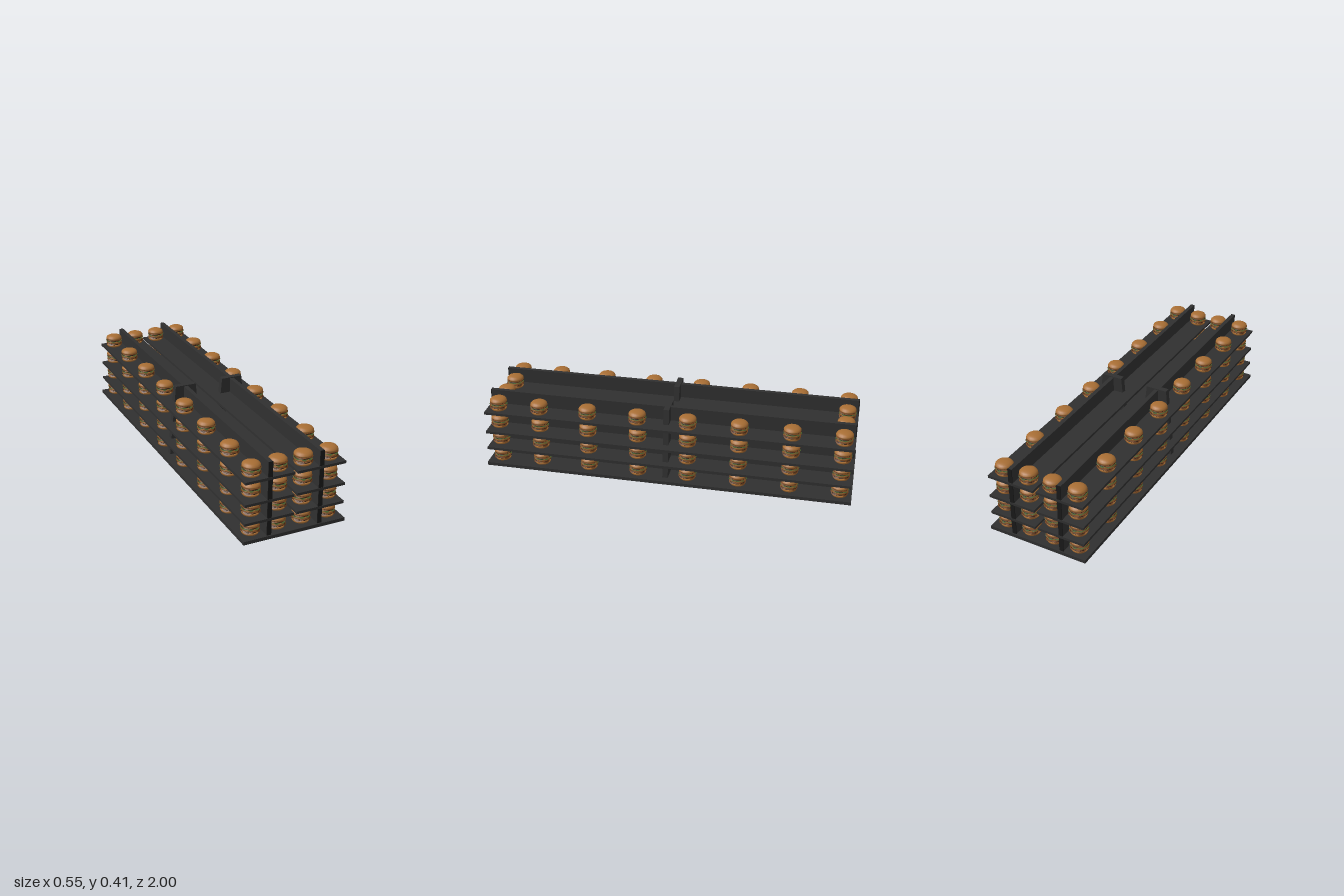
import * as THREE from 'three';

const mat = (name, color, side = THREE.FrontSide) => {
  const m = new THREE.MeshStandardMaterial({ color, side });
  m.name = name;
  return m;
};
const charcoal = mat('charcoal', 0x303030);
const black = mat('black', 0x191919);
const bun = mat('bun', 0xa86e34);
const bunPale = mat('palerBun', 0x98602c);
const patty = mat('patty', 0x3d2413);
const cheese = mat('cheese', 0x6e3f1a, THREE.DoubleSide);
const lettuce = mat('lettuce', 0x46592a, THREE.DoubleSide);

function add(parent, name, geometry, material, x = 0, y = 0, z = 0) {
  const mesh = new THREE.Mesh(geometry, material);
  mesh.name = name;
  mesh.position.set(x, y, z);
  parent.add(mesh);
  return mesh;
}

const lathe = (pts, n = 20) =>
  new THREE.LatheGeometry(pts.map(([r, y]) => new THREE.Vector2(r, y)), n);

// Thin sheet whose rim radius and height follow the angle
function sheet(radius, height, segments) {
  const g = new THREE.RingGeometry(0.03, 1, segments, 2);
  g.rotateX(-Math.PI / 2);
  const p = g.attributes.position;
  for (let i = 0; i < p.count; i++) {
    const a = Math.atan2(p.getZ(i), p.getX(i));
    const ring = Math.floor(i / (segments + 1));
    const r = ring === 0 ? 0.03 : ring === 1 ? 0.041 : radius(a);
    p.setXYZ(i, r * Math.cos(a), ring === 2 ? height(a) : 0, r * Math.sin(a));
  }
  g.computeVertexNormals();
  return g;
}

const geo = {
  bottomBun: lathe([[0, 0], [0.036, 0], [0.041, 0.003], [0.044, 0.009], [0.043, 0.015], [0, 0.016]]),
  patty: lathe([[0, 0], [0.041, 0], [0.045, 0.003], [0.045, 0.006], [0.041, 0.009], [0, 0.009]]),
  middleBun: lathe([[0, 0], [0.042, 0], [0.045, 0.003], [0.045, 0.007], [0.042, 0.01], [0, 0.01]]),
  topBun: lathe([[0, 0], [0.042, 0], [0.046, 0.004], [0.045, 0.009], [0.039, 0.016],
    [0.028, 0.021], [0.014, 0.0235], [0, 0.024]]),
  // Square slice with four drooping corners
  cheese: sheet(
    a => 0.046 + 0.003 * Math.abs(Math.sin(2 * a)),
    a => -0.013 * Math.pow(Math.abs(Math.sin(2 * a)), 2), 24),
  lettuce: sheet(a => 0.047 + 0.003 * Math.sin(7 * a), a => -0.001 + 0.003 * Math.sin(9 * a), 36),
};

function makeBurger() {
  const b = new THREE.Group();
  b.name = 'burger';
  add(b, 'bottomBun', geo.bottomBun, bun);
  add(b, 'lowerPatty', geo.patty, patty, 0, 0.016);
  add(b, 'cheeseSlice', geo.cheese, cheese, 0, 0.026);
  add(b, 'middleBun', geo.middleBun, bunPale, 0, 0.0255);
  add(b, 'lettuceLeaf', geo.lettuce, lettuce, 0, 0.037);
  add(b, 'upperPatty', geo.patty, patty, 0, 0.038);
  add(b, 'upperCheese', geo.cheese, cheese, 0, 0.0475).scale.set(0.98, 0.45, 0.98);
  add(b, 'topBun', geo.topBun, bun, 0, 0.048);
  return b;
}

export function createModel() {
  const model = new THREE.Group();
  model.name = 'burgerDisplayShelf';

  // Base slab
  add(model, 'base', new THREE.BoxGeometry(0.55, 0.018, 2), charcoal, 0, 0.009);

  const shelfGeo = new THREE.BoxGeometry(0.26, 0.0135, 1.99);
  const panelGeo = new THREE.BoxGeometry(0.022, 0.39, 1.98);
  const endGeo = new THREE.BoxGeometry(0.023, 0.39, 0.004);

  // Tapered central support
  const outline = new THREE.Shape([[-0.098, 0.018], [0.098, 0.018], [0.058, 0.413], [-0.058, 0.413]]
    .map(([x, y]) => new THREE.Vector2(x, y)));
  const postGeo = new THREE.ExtrudeGeometry(outline, { depth: 0.03, bevelEnabled: false });

  const burger = makeBurger();
  const levels = [0.018, 0.122, 0.225, 0.328];
  const rows = [0.93, 0.7, 0.43, 0.155, -0.118, -0.393, -0.668, -0.935];

  for (const side of [-1, 1]) {
    const unit = new THREE.Group();
    unit.name = side > 0 ? 'leftUnit' : 'rightUnit';
    model.add(unit);

    for (const y of [0.104, 0.204, 0.3215])
      add(unit, 'shelf', shelfGeo, charcoal, side * 0.138, y);
    add(unit, 'dividerPanel', panelGeo, charcoal, side * 0.137, 0.213);
    for (const end of [-1, 1])
      add(unit, 'panelEnd', endGeo, black, side * 0.137, 0.213, end * 0.991);
    add(unit, 'supportPost', postGeo, charcoal, side * 0.137, 0, -0.015);

    // Outer row along each level, plus an inner burger at each end
    for (const y of levels) {
      rows.forEach((z, i) => {
        const atEnd = i === 0 || i === rows.length - 1;
        for (const x of atEnd ? [0.207, 0.068] : [0.207]) {
          const b = burger.clone();
          b.position.set(side * x, y, z);
          model.add(b);
        }
      });
    }
  }
  return model;
}
